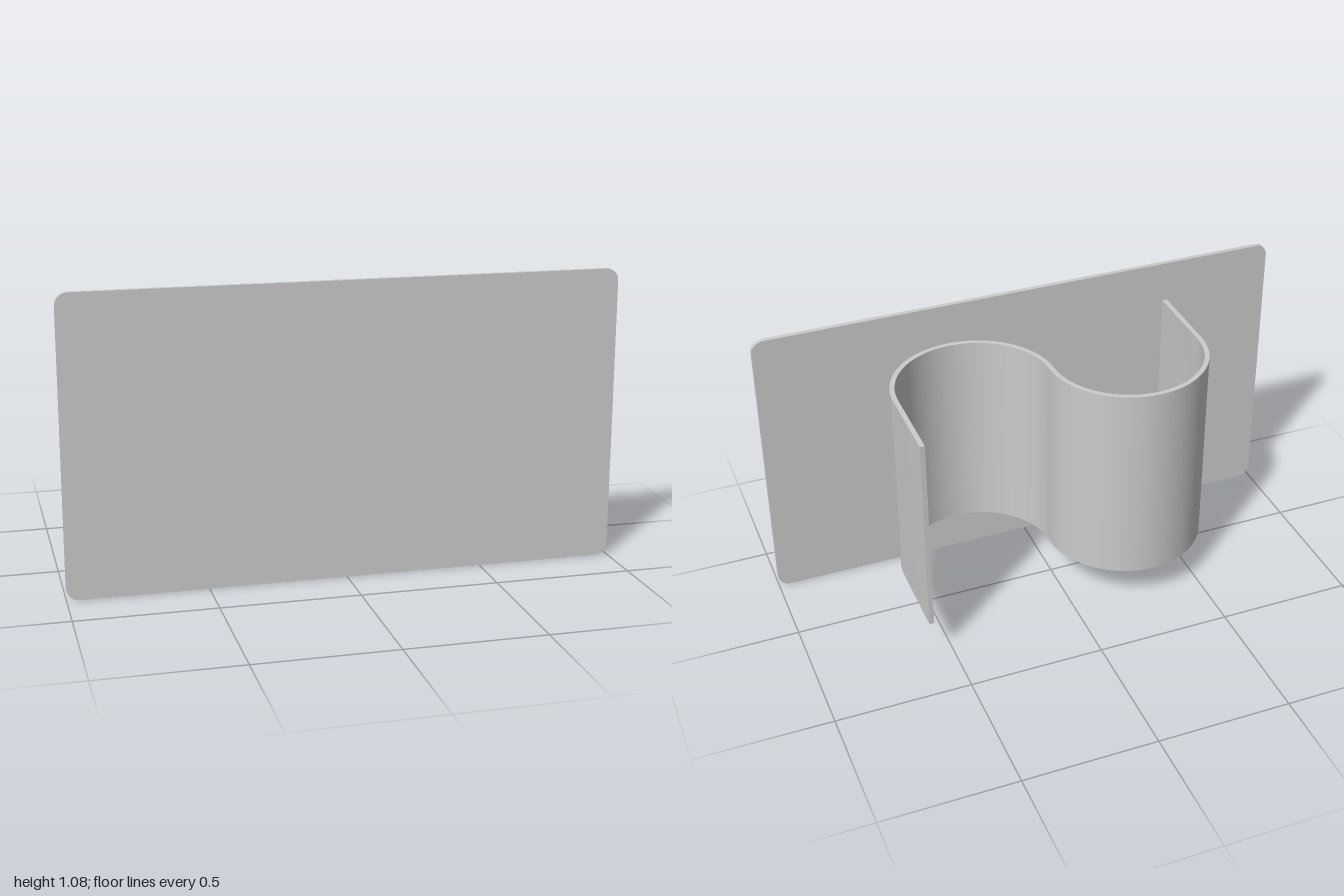
import * as THREE from 'three';
import { toCreasedNormals } from 'three/addons/utils/BufferGeometryUtils.js';

const material = new THREE.MeshStandardMaterial({ color: 0xcccccc });

function extrude(name, shape, depth) {
  const solid = new THREE.ExtrudeGeometry(shape, { depth, bevelEnabled: false, curveSegments: 32 });
  const mesh = new THREE.Mesh(toCreasedNormals(solid, 0.5), material);
  mesh.name = name;
  return mesh;
}

// Upright plate with rounded corners
function createPlate() {
  const w = 1, h = 1.077, r = 0.045;
  const shape = new THREE.Shape();
  shape.absarc(w - r, r, r, -Math.PI / 2, 0);
  shape.absarc(w - r, h - r, r, 0, Math.PI / 2);
  shape.absarc(-w + r, h - r, r, Math.PI / 2, Math.PI);
  shape.absarc(-w + r, r, r, Math.PI, Math.PI * 1.5);
  shape.closePath();
  const plate = extrude('frontPlate', shape, 0.018);
  plate.position.z = 0.29;
  return plate;
}

// S-shaped band: two opposite half circles with straight ends (plan, y = -z)
function createBand() {
  const r = 0.289, t = 0.009, c = 0.01, near = -0.29, far = 0.308;
  const shape = new THREE.Shape();
  shape.moveTo(-2 * r - t, near);
  shape.lineTo(-2 * r - t, c);
  shape.absarc(-r, c, r + t, Math.PI, 0, true);
  shape.absarc(r, c, r - t, Math.PI, 2 * Math.PI, false);
  shape.lineTo(2 * r - t, far);
  shape.lineTo(2 * r + t, far);
  shape.lineTo(2 * r + t, c);
  shape.absarc(r, c, r + t, 2 * Math.PI, Math.PI, true);
  shape.absarc(-r, c, r - t, 0, Math.PI, false);
  shape.lineTo(-2 * r + t, near);
  shape.closePath();
  const band = extrude('curvedBand', shape, 0.767);
  band.rotation.x = -Math.PI / 2;
  band.position.y = 0.155;
  return band;
}

export function createModel() {
  const model = new THREE.Group();
  model.name = 'plateWithCurvedBand';
  model.add(createPlate(), createBand());
  return model;
}
